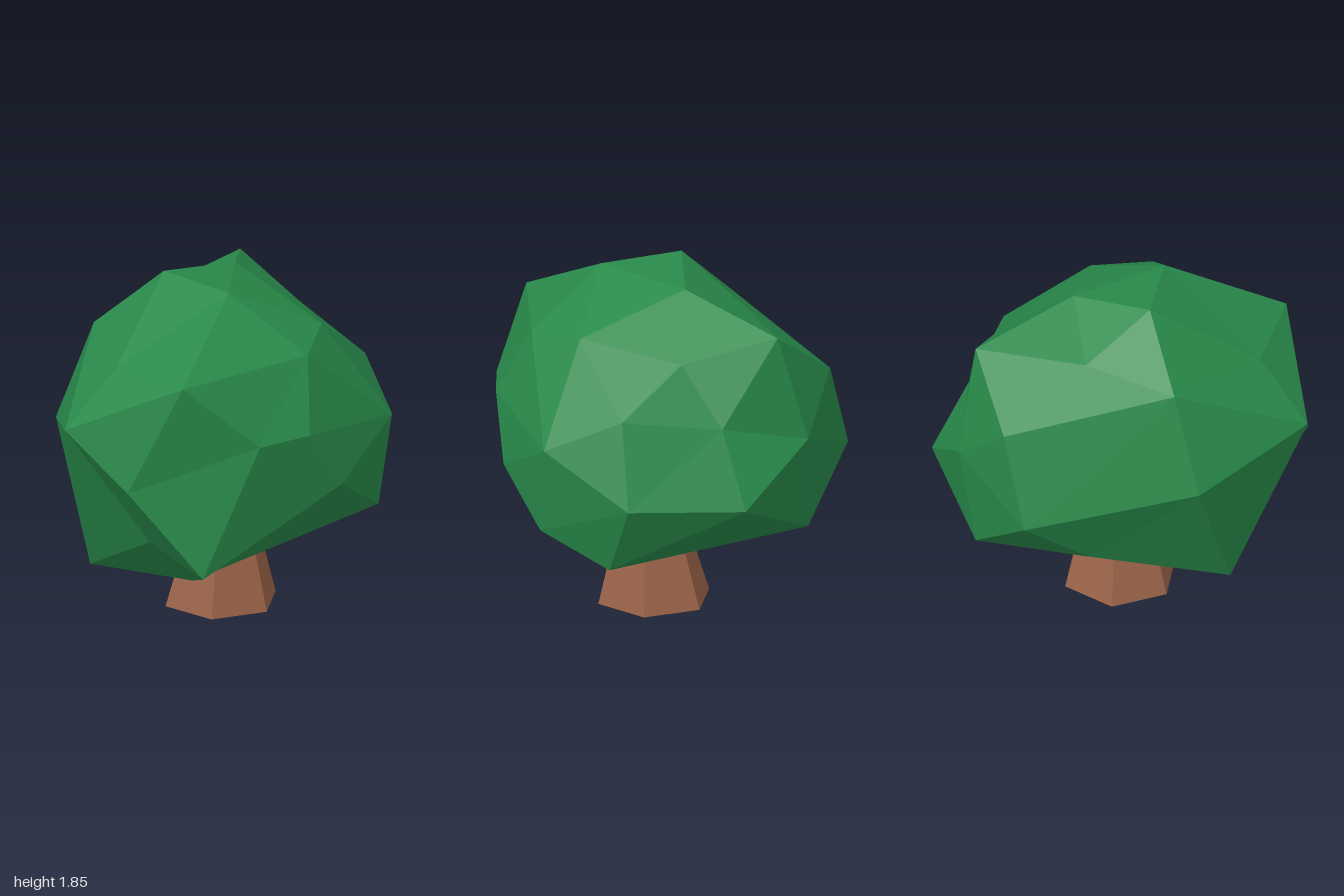
import * as THREE from 'three';
import { ConvexGeometry } from 'three/addons/geometries/ConvexGeometry.js';

// Corners of the faceted crown, roughly from bottom to top
const CROWN = [
  [-0.16, 0.275, -0.13], [0.23, 0.28, 0.43], [-0.31, 0.3, 0.61], [0.54, 0.45, 0.73],
  [0.55, 0.45, -0.67], [-0.55, 0.56, -0.705], [0.16, 0.56, 0.7], [-0.65, 0.58, -0.09],
  [0.83, 0.61, -0.385], [-0.09, 0.81, -1], [0.52, 0.84, -0.87], [0.89, 0.85, 0],
  [-0.89, 0.88, -0.4], [0.21, 0.92, 0.95], [-0.635, 1.01, 0.49], [-0.516, 1.09, -0.8],
  [0.845, 1.09, -0.48], [0.74, 1.17, 0.5], [0.85, 1.18, 0.22], [-0.17, 1.2, 1],
  [-0.03, 1.21, -0.81], [0.49, 1.28, -0.7], [-0.74, 1.36, -0.53], [-0.04, 1.5, 0.73],
  [0.46, 1.52, 0.8], [0.12, 1.52, -0.6], [-0.5, 1.53, 0.34], [0.71, 1.55, 0.06],
  [0.555, 1.6, -0.25], [-0.4, 1.62, -0.14], [-0.37, 1.65, -0.73], [-0.03, 1.8, -0.26],
  [0.275, 1.83, 0.18], [-0.17, 1.845, 0.165],
].map((p) => new THREE.Vector3(...p));

// Triangulate the corners on a sphere, then move each one back to its place,
// so that the crown can keep its shallow dents
function crownGeometry(points) {
  const centre = new THREE.Vector3(0, 1, 0);
  const directions = points.map((p) => p.clone().sub(centre).normalize());
  const geometry = new ConvexGeometry(directions);
  const position = geometry.attributes.position;
  const v = new THREE.Vector3();
  for (let i = 0; i < position.count; i++) {
    v.fromBufferAttribute(position, i);
    let best = 0;
    directions.forEach((d, j) => {
      if (d.distanceToSquared(v) < directions[best].distanceToSquared(v)) best = j;
    });
    position.setXYZ(i, points[best].x, points[best].y, points[best].z);
  }
  geometry.computeVertexNormals();
  return geometry;
}

// Open six-sided trunk, tapering upward with a slight lean
function trunkGeometry() {
  const height = 0.45;
  const geometry = new THREE.CylinderGeometry(0.185, 0.31, height, 6, 1, true);
  geometry.rotateY(Math.PI / 6);
  geometry.translate(0, height / 2, 0);
  const position = geometry.attributes.position;
  for (let i = 0; i < position.count; i++) {
    position.setX(i, position.getX(i) + 0.058 + 0.035 * position.getY(i));
    position.setZ(i, position.getZ(i) - 0.025);
  }
  return geometry;
}

export function createModel() {
  const leafGreen = new THREE.MeshStandardMaterial({ color: 0x28894a, flatShading: true });
  leafGreen.name = 'leafGreen';
  const barkBrown = new THREE.MeshStandardMaterial({
    color: 0x9b6349, flatShading: true, side: THREE.DoubleSide,
  });
  barkBrown.name = 'barkBrown';

  const tree = new THREE.Group();
  tree.name = 'tree';

  const crown = new THREE.Mesh(crownGeometry(CROWN), leafGreen);
  crown.name = 'crown';
  const trunk = new THREE.Mesh(trunkGeometry(), barkBrown);
  trunk.name = 'trunk';
  tree.add(crown, trunk);
  return tree;
}
